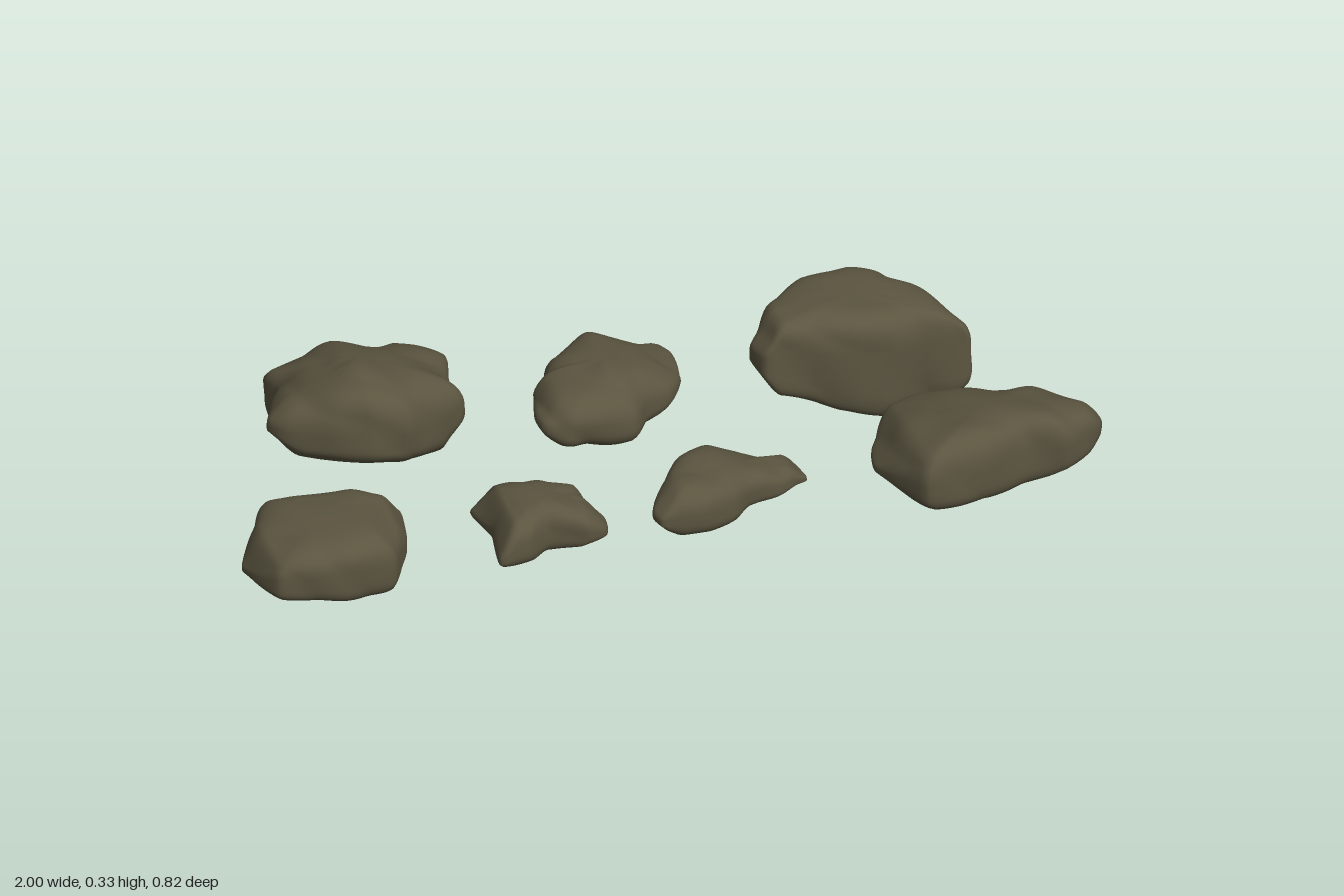
import * as THREE from 'three';
import { mergeVertices } from 'three/addons/utils/BufferGeometryUtils.js';

const stone = new THREE.MeshStandardMaterial({ color: 0x5b5540 });
stone.name = 'mossy stone';

const SIDES = 96, RINGS = 40;

// Reads [x, bottom, top] rows as a continuous profile along x
function profileAt(rows, x) {
  let i = 0;
  while (i < rows.length - 2 && x > rows[i + 1][0]) i++;
  const [a, b] = [rows[i], rows[i + 1]];
  let t = THREE.MathUtils.clamp((x - a[0]) / (b[0] - a[0]), 0, 1);
  t = 0.5 * t + 0.5 * t * t * (3 - 2 * t);
  return [a[1] + (b[1] - a[1]) * t, a[2] + (b[2] - a[2]) * t];
}

// Soft lumps with a few creased valleys
function lumps(x, y, z, seed) {
  const a = Math.sin(13 * x + 7 * z + 9 * y + seed) * Math.cos(11 * z - 8 * y + seed * 2.3);
  const b = Math.abs(Math.sin(17 * x - 12 * z + 15 * y + seed * 1.7 + a));
  const c = Math.sin(31 * x + seed) * Math.sin(29 * z + 23 * y + seed * 3.1);
  return 0.5 * a + 0.8 * (b - 0.6) + 0.3 * c;
}

// A rock: plan outline (clockwise from above) swept between its bottom and top profiles;
// tiltTop and tiltBottom slope those faces along z
function rock(name, { plan, profile, round, rough, rim = 0.45, tiltTop = 0, tiltBottom = 0, seed }) {
  const points = plan.map(([x, z]) => new THREE.Vector3(x, 0, z));
  const edge = new THREE.CatmullRomCurve3(points, true, 'catmullrom', 0.2).getSpacedPoints(SIDES).slice(0, SIDES);
  const centre = new THREE.Box3().setFromPoints(edge).getCenter(new THREE.Vector3());
  const positions = [], index = [];
  for (let j = 0; j <= RINGS; j++) {
    const phi = (j / RINGS - 0.5) * Math.PI;
    const s = Math.pow(Math.abs(Math.cos(phi)), round);
    const f = Math.sign(phi) * Math.pow(Math.abs(Math.sin(phi)), round);
    for (let i = 0; i < SIDES; i++) {
      const x = centre.x + (edge[i].x - centre.x) * s;
      const dz = (edge[i].z - centre.z) * s;
      const [low, high] = profileAt(profile, x);
      const mid = low + (high - low) * rim;
      const y = f > 0 ? mid + f * (high - mid + tiltTop * dz) : mid - f * (low - mid + tiltBottom * dz);
      positions.push(x, y, centre.z + dz);
      if (j < RINGS) {
        const a = j * SIDES + (i + 1) % SIDES, b = j * SIDES + i;
        index.push(a, b, b + SIDES, a, b + SIDES, a + SIDES);
      }
    }
  }
  let geometry = new THREE.BufferGeometry();
  geometry.setAttribute('position', new THREE.Float32BufferAttribute(positions, 3));
  geometry.setIndex(index);
  geometry = mergeVertices(geometry, 1e-5);
  geometry.computeVertexNormals();

  // Weather the surface along its normals
  const p = geometry.attributes.position, nrm = geometry.attributes.normal;
  for (let i = 0; i < p.count; i++) {
    const d = rough * lumps(p.getX(i), p.getY(i), p.getZ(i), seed);
    p.setXYZ(i, p.getX(i) + nrm.getX(i) * d, p.getY(i) + nrm.getY(i) * d, p.getZ(i) + nrm.getZ(i) * d);
  }
  geometry.computeVertexNormals();
  const mesh = new THREE.Mesh(geometry, stone);
  mesh.name = name;
  return mesh;
}

export function createModel() {
  const group = new THREE.Group();
  group.name = 'rocks';

  // Back row
  group.add(rock('backRightBoulder', {
    plan: [[-0.83, -0.18], [-0.8, -0.25], [-0.77, -0.31], [-0.78, -0.37], [-0.65, -0.4], [-0.53, -0.38], [-0.45, -0.41],
      [-0.4, -0.39], [-0.36, -0.34], [-0.38, -0.22], [-0.37, -0.16], [-0.45, -0.11], [-0.52, -0.06], [-0.61, -0.05], [-0.7, -0.08], [-0.8, -0.14]],
    profile: [[-0.83, 0.16, 0.25], [-0.76, 0.1, 0.28], [-0.62, 0.07, 0.32], [-0.5, 0.045, 0.29], [-0.42, 0.04, 0.275], [-0.36, 0.11, 0.26]],
    rough: 0.007, tiltTop: 0.18, tiltBottom: 0.35, rim: 0.5, round: 0.6, seed: 2 }));
  group.add(rock('backMiddleRock', {
    plan: [[-0.22, -0.1], [-0.21, -0.18], [-0.17, -0.2], [-0.15, -0.27], [-0.09, -0.32], [-0.03, -0.36], [0.06, -0.33],
      [0.13, -0.33], [0.15, -0.29], [0.15, -0.2], [0.1, -0.13], [0.04, -0.09], [-0.01, -0.04], [-0.16, -0.02], [-0.21, -0.05]],
    profile: [[-0.22, 0.14, 0.21], [-0.17, 0.1, 0.24], [-0.05, 0.08, 0.245], [0.03, 0.08, 0.225], [0.15, 0.11, 0.18]],
    rough: 0.009, round: 0.72, seed: 5 }));
  group.add(rock('backLeftBoulder', {
    plan: [[0.3, -0.18], [0.36, -0.25], [0.45, -0.33], [0.58, -0.36], [0.65, -0.32], [0.67, -0.29], [0.73, -0.25], [0.8, -0.12],
      [0.79, -0.09], [0.68, -0.11], [0.62, -0.09], [0.53, -0.09], [0.42, -0.11], [0.32, -0.11]],
    profile: [[0.3, 0.16, 0.24], [0.36, 0.1, 0.3], [0.5, 0.03, 0.295], [0.6, 0, 0.29], [0.72, 0.02, 0.275], [0.8, 0.06, 0.25]],
    round: 0.38, rough: 0.006, seed: 3 }));

  // Front row
  group.add(rock('frontRightSlab', {
    plan: [[-1, 0.22], [-0.95, 0.14], [-0.91, 0.08], [-0.75, 0.1], [-0.6, 0.12], [-0.62, 0.24], [-0.68, 0.35], [-0.8, 0.37], [-0.95, 0.35]],
    profile: [[-1, 0.1, 0.14], [-0.95, 0.085, 0.21], [-0.85, 0.07, 0.225], [-0.72, 0.06, 0.235], [-0.65, 0.06, 0.21], [-0.6, 0.08, 0.16]],
    round: 0.52, rough: 0.005, seed: 7 }));
  group.add(rock('smallRock', {
    plan: [[-0.44, 0.13], [-0.38, 0.12], [-0.33, 0.14], [-0.28, 0.14], [-0.2, 0.17], [-0.19, 0.22], [-0.16, 0.25],
      [-0.17, 0.3], [-0.22, 0.33], [-0.31, 0.31], [-0.36, 0.34], [-0.43, 0.35], [-0.42, 0.24]],
    profile: [[-0.44, 0.09, 0.13], [-0.39, 0.08, 0.2], [-0.3, 0.075, 0.2], [-0.22, 0.08, 0.185], [-0.16, 0.09, 0.14]],
    round: 0.66, rough: 0.006, seed: 4 }));
  group.add(rock('frontMiddleRock', {
    plan: [[-0.06, 0.3], [-0.02, 0.22], [0.03, 0.15], [0.11, 0.1], [0.18, 0.11], [0.24, 0.14], [0.31, 0.13],
      [0.33, 0.19], [0.26, 0.24], [0.18, 0.27], [0.13, 0.31], [0.05, 0.34], [-0.05, 0.34]],
    profile: [[-0.06, 0.11, 0.17], [0, 0.07, 0.21], [0.1, 0.07, 0.2], [0.2, 0.08, 0.17], [0.28, 0.08, 0.145], [0.33, 0.075, 0.11]],
    round: 0.66, rough: 0.006, seed: 9 }));
  group.add(rock('frontLeftBoulder', {
    plan: [[0.47, 0.24], [0.49, 0.16], [0.55, 0.07], [0.62, 0.04], [0.75, 0.07], [0.83, 0.12], [0.9, 0.13], [1, 0.23],
      [0.98, 0.28], [0.9, 0.34], [0.8, 0.34], [0.7, 0.38], [0.55, 0.41], [0.51, 0.33]],
    profile: [[0.47, 0.1, 0.15], [0.55, 0.075, 0.23], [0.7, 0.06, 0.24], [0.85, 0.065, 0.24], [0.96, 0.08, 0.22], [1, 0.1, 0.19]],
    round: 0.58, rough: 0.006, tiltTop: 0.2, seed: 6 }));

  return group;
}
